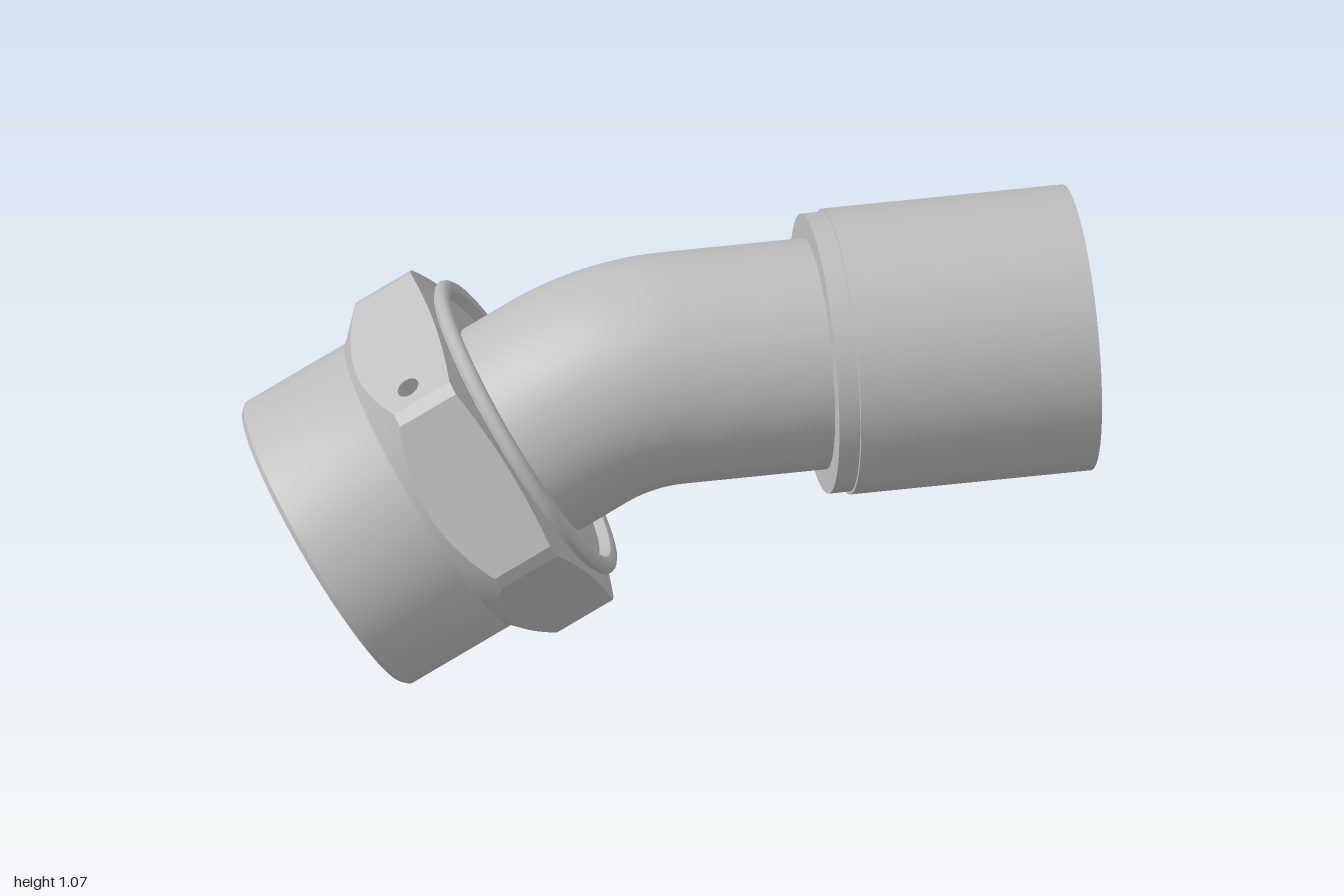
import * as THREE from 'three';
import { toCreasedNormals } from 'three/addons/utils/BufferGeometryUtils.js';

const metal = new THREE.MeshStandardMaterial({ color: 0xbebebe, side: THREE.DoubleSide });
metal.name = 'grey metal';

const AXIS_Y = 0.745;              // height of the straight pipe's axis
const BEND_X = 0.03, BEND_R = 0.51; // start and radius of the 30 degree bend
const OUTER = 0.275, BORE = 0.235;
const APOTHEM = 0.407, CORNER = 0.46; // hexagon flat distance and trimmed corner radius
const HALF = Math.sqrt(CORNER ** 2 - APOTHEM ** 2);
const TURN = THREE.MathUtils.degToRad(4.4);

// Chamfered ends of the hexagon: height along the axis at radius r
const low = r => 0.305 + (r - 0.4);
const high = r => 0.535 - (r - 0.4) * 0.25;

function addMesh(parent, name, geometry) {
  const mesh = new THREE.Mesh(geometry, metal);
  mesh.name = name;
  parent.add(mesh);
  return mesh;
}

function turned(profile) {
  const points = profile.map(([r, y]) => new THREE.Vector2(r, y));
  return toCreasedNormals(new THREE.LatheGeometry(points, 96), 0.7);
}

// Outline of the hexagon seen along its axis, as [angle, radius]
function hexOutline() {
  const outline = [];
  for (let k = 0; k < 6; k++) {
    for (let i = 0; i <= 16; i++) {
      const u = HALF * (i / 8 - 1);
      outline.push([TURN + Math.PI / 6 + k * Math.PI / 3 + Math.atan2(u, APOTHEM), Math.hypot(u, APOTHEM)]);
    }
  }
  return outline;
}

// Band between two closed rings of points; ring a is the lower/outer start
function band(a, b) {
  const positions = [], index = [], n = a.length;
  for (let i = 0; i < n; i++) {
    positions.push(...a[i], ...b[i]);
    const p = 2 * i, q = 2 * ((i + 1) % n);
    index.push(p, q, p + 1, q, q + 1, p + 1);
  }
  const geometry = new THREE.BufferGeometry();
  geometry.setAttribute('position', new THREE.Float32BufferAttribute(positions, 3));
  geometry.setIndex(index);
  return toCreasedNormals(geometry, 0.6);
}

function addHexagon(parent) {
  const nut = new THREE.Group();
  nut.name = 'hexagon';
  parent.add(nut);
  const outline = hexOutline();
  const ring = (radius, height) => outline.map(([t, r]) => {
    const R = radius ?? r;
    return [R * Math.sin(t), height(R), R * Math.cos(t)];
  });
  addMesh(nut, 'hexagonChamfer', band(ring(0.3865, low), ring(null, low)));
  addMesh(nut, 'hexagonEndFace', band(ring(null, high), ring(0.38, high)));

  const holeU = 0.154, holeV = 0.42, holeR = 0.028;
  const cornerAngle = Math.PI / 6 - Math.acos(APOTHEM / CORNER);
  for (let k = 0; k < 6; k++) {
    const angle = TURN + Math.PI / 6 + k * Math.PI / 3;

    // Flat with a curved lower edge where the chamfer cuts it
    const shape = new THREE.Shape();
    for (let i = 0; i <= 16; i++) {
      const u = HALF * (i / 8 - 1);
      shape[i ? 'lineTo' : 'moveTo'](u, low(Math.hypot(u, APOTHEM)));
    }
    for (let i = 16; i >= 0; i--) {
      const u = HALF * (i / 8 - 1);
      shape.lineTo(u, high(Math.hypot(u, APOTHEM)));
    }
    if (k === 4) {
      // Small blind hole in the upper flat
      shape.holes.push(new THREE.Path().absarc(holeU, holeV, holeR, 0, Math.PI * 2, true));
      const wall = new THREE.CylinderGeometry(holeR, holeR, 0.07, 24, 1, true);
      wall.rotateX(Math.PI / 2).translate(holeU, holeV, APOTHEM - 0.035).rotateY(angle);
      addMesh(nut, 'holeWall', wall);
    }
    addMesh(nut, 'hexagonFlat', new THREE.ShapeGeometry(shape, 24).translate(0, 0, APOTHEM).rotateY(angle));

    // Narrow face on the trimmed corner
    const lo = low(CORNER), hi = high(CORNER);
    const corner = new THREE.PlaneGeometry(2 * CORNER * Math.sin(cornerAngle), hi - lo);
    corner.translate(0, (lo + hi) / 2, CORNER * Math.cos(cornerAngle)).rotateY(angle + Math.PI / 6);
    addMesh(nut, 'hexagonCorner', corner);
  }
}

export function createModel() {
  const model = new THREE.Group();
  model.name = 'pipeElbow';

  // Tilted socket end, with its axis along local y
  const socket = new THREE.Group();
  socket.name = 'socketEnd';
  socket.position.set(-0.8075, 0.34, 0);
  socket.rotation.z = -Math.PI / 3;
  model.add(socket);
  addMesh(socket, 'socketBody', turned([
    [0.345, 0], [0.375, 0], [0.3865, 0.012], [0.3865, 0.2915], [0.36, 0.34], [0.36, 0.5],
    [0.385, 0.5], [0.385, 0.54], [0.396, 0.547], [0.4, 0.557], [0.396, 0.567], [0.387, 0.574],
    [0.375, 0.576], [0.362, 0.571], [0.352, 0.547], [OUTER, 0.547], [OUTER, 0.673],
    [BORE, 0.673], [BORE, 0.4], [0.27, 0.4], [0.345, 0.3], [0.345, 0],
  ]));
  addHexagon(socket);

  // Bend, outer and inner walls
  for (const [name, r] of [['bendOuter', OUTER], ['bendBore', BORE]]) {
    const bend = new THREE.TorusGeometry(BEND_R, r, 96, 32, Math.PI / 6);
    bend.rotateZ(Math.PI / 2).translate(BEND_X, AXIS_Y - BEND_R, 0);
    addMesh(model, name, bend);
  }

  // Straight pipe and end sleeve, turned about the x axis
  const straight = addMesh(model, 'straightPipeAndSleeve', turned([
    [BORE, BEND_X], [OUTER, BEND_X], [OUTER, 0.37], [0.333, 0.37], [0.333, 0.42], [0.34, 0.421],
    [0.34, 1], [0.325, 1], [0.31, 0.96], [0.31, 0.93], [0.28, 0.93], [0.28, 0.945],
    [0.262, 0.95], [0.24, 0.947], [BORE, 0.935], [BORE, BEND_X],
  ]));
  straight.position.y = AXIS_Y;
  straight.rotation.z = -Math.PI / 2;

  return model;
}
